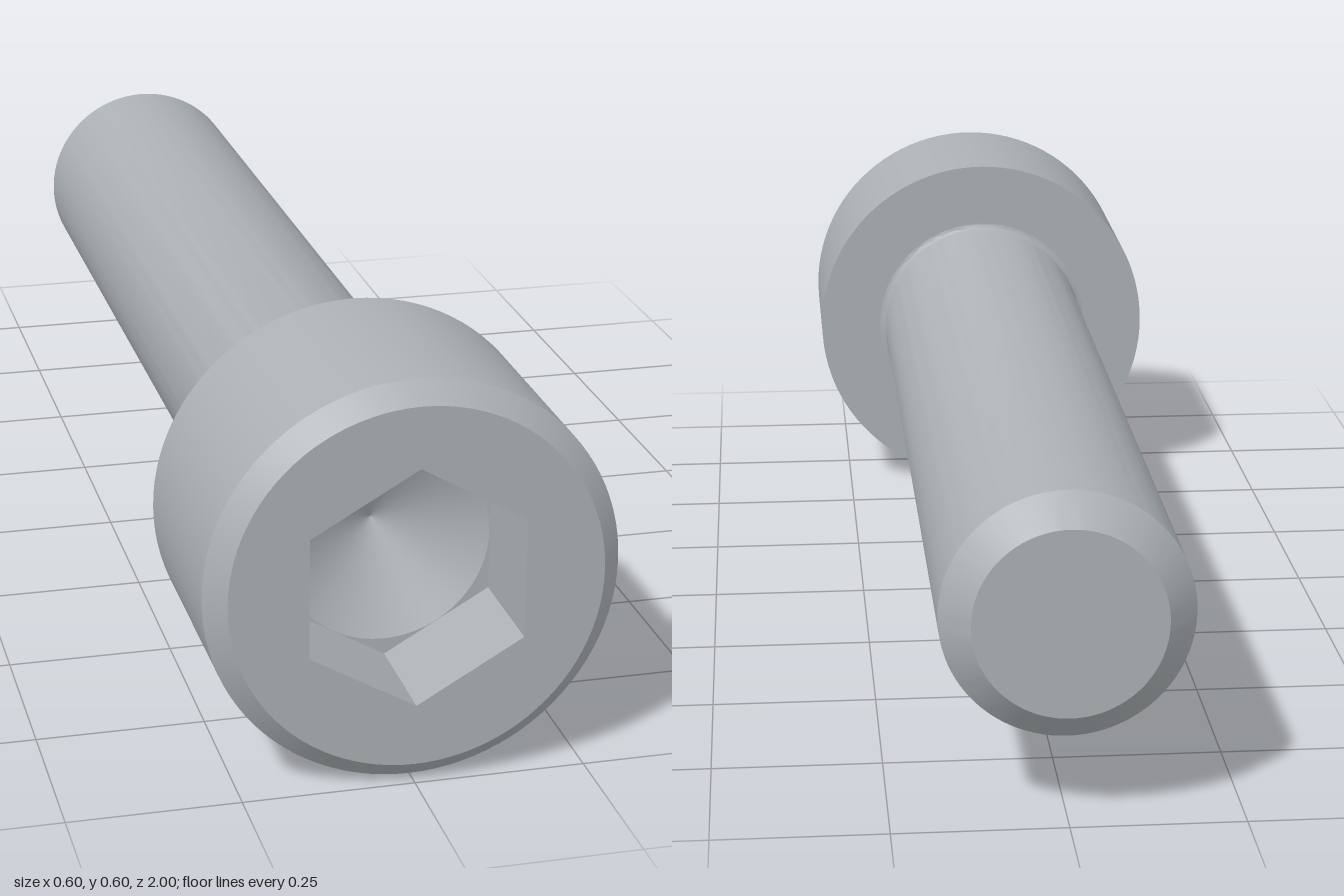
import * as THREE from 'three';
import { toCreasedNormals } from 'three/addons/utils/BufferGeometryUtils.js';

const SEGMENTS = 96;
const HEAD_R = 0.3, FACE_R = 0.27, HEAD_BACK = 0.635;
const SHAFT_R = 0.18, TIP_R = 0.137, FILLET = 0.012;
const HEX_R = 0.179, DRILL_R = 0.1545, SOCKET_Z = 0.83, DRILL_Z = 0.741;

export function createModel() {
  const steel = new THREE.MeshStandardMaterial({ color: 0xabb1b4 });
  steel.name = 'steel grey';

  const model = new THREE.Group();
  model.name = 'socketHeadScrew';

  const add = (name, geometry) => {
    const mesh = new THREE.Mesh(geometry, steel);
    mesh.name = name;
    mesh.position.y = HEAD_R;
    model.add(mesh);
  };

  // Turned surface around z from [radius, z] points
  const turned = (points, sides = SEGMENTS) => {
    const profile = points.map(([r, z]) => new THREE.Vector2(r, z));
    const geometry = new THREE.LatheGeometry(profile, sides).rotateX(Math.PI / 2);
    return toCreasedNormals(geometry, Math.PI / 6);
  };

  const circle = (Type, r) => new Type().absarc(0, 0, r, 0, Math.PI * 2);
  const hexagon = () => Array.from({ length: 6 }, (_, i) => {
    const a = Math.PI / 2 + i * Math.PI / 3;
    return new THREE.Vector2(HEX_R * Math.cos(a), HEX_R * Math.sin(a));
  });
  const flat = (shape, z) => new THREE.ShapeGeometry(shape, SEGMENTS / 2).translate(0, 0, z);

  // Shaft with chamfered tip, and a small fillet into the underside of the head
  const shaft = [[0, -1], [TIP_R, -1], [SHAFT_R, -0.957]];
  for (let i = 0; i <= 8; i++) {
    const a = i / 8 * Math.PI / 2;
    shaft.push([SHAFT_R + FILLET * (1 - Math.cos(a)), HEAD_BACK - FILLET * (1 - Math.sin(a))]);
  }
  add('shaft', turned(shaft));

  // Head underside, side and front chamfer
  add('head', turned([
    [SHAFT_R + FILLET, HEAD_BACK], [HEAD_R, HEAD_BACK], [HEAD_R, 0.97], [FACE_R, 1],
  ]));

  // Front face with the hexagonal opening
  const face = circle(THREE.Shape, FACE_R);
  face.holes.push(new THREE.Path(hexagon()));
  add('headFace', flat(face, 1));

  // Hexagonal socket: walls, corner ledges and conical drill point
  add('socketWalls', turned([[HEX_R, 1], [HEX_R, SOCKET_Z]], 6));
  const ledge = new THREE.Shape(hexagon());
  ledge.holes.push(circle(THREE.Path, DRILL_R));
  add('socketLedge', flat(ledge, SOCKET_Z));
  add('socketCone', turned([[DRILL_R, SOCKET_Z], [0, DRILL_Z]]));

  return model;
}
